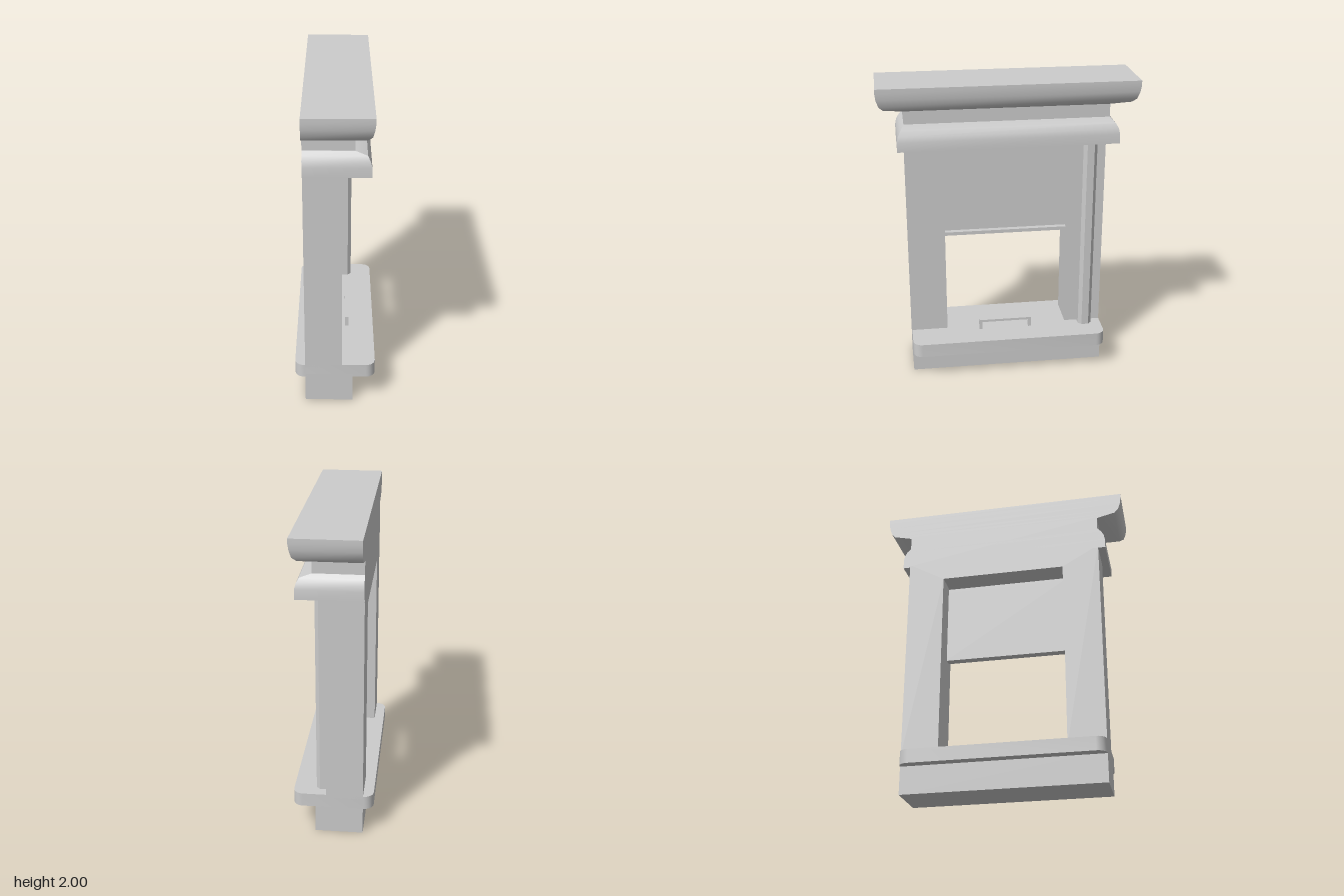
import * as THREE from 'three';
import { toCreasedNormals } from 'three/addons/utils/BufferGeometryUtils.js';

const BACK = -0.19; // shared flat back plane (x)

export function createModel() {
  const group = new THREE.Group();
  const material = new THREE.MeshStandardMaterial({ color: 0xcccccc });

  function add(name, geometry) {
    const mesh = new THREE.Mesh(geometry, material);
    mesh.name = name;
    group.add(mesh);
    return mesh;
  }

  // Box given by its limits on each axis
  function box(name, x0, x1, y0, y1, z0, z1) {
    const g = new THREE.BoxGeometry(x1 - x0, y1 - y0, z1 - z0);
    g.translate((x0 + x1) / 2, (y0 + y1) / 2, (z0 + z1) / 2);
    return add(name, g);
  }

  // Plan outline (x, -z) raised from y0 to y1
  function prism(name, shape, y0, y1, curveSegments = 3) {
    const g = new THREE.ExtrudeGeometry(shape, { depth: y1 - y0, bevelEnabled: false, curveSegments });
    g.rotateX(-Math.PI / 2).translate(0, y0, 0);
    return add(name, toCreasedNormals(g, 0.3));
  }

  // Moulding: rectangles stacked by [front x, half width z, y], flat at the back
  function moulding(name, levels) {
    const pos = [], index = [];
    for (const [x, z, y] of levels) pos.push(BACK, y, z, x, y, z, x, y, -z, BACK, y, -z);
    for (let i = 0; i < levels.length - 1; i++) {
      for (let j = 0; j < 4; j++) {
        const a = i * 4 + j, b = i * 4 + (j + 1) % 4;
        index.push(a, b, b + 4, a, b + 4, a + 4);
      }
    }
    const t = (levels.length - 1) * 4;
    index.push(0, 2, 1, 0, 3, 2, t, t + 1, t + 2, t, t + 2, t + 3);
    const g = new THREE.BufferGeometry();
    g.setAttribute('position', new THREE.Float32BufferAttribute(pos, 3));
    g.setIndex(index);
    return add(name, toCreasedNormals(g, 0.65));
  }

  // Plinth
  box('plinth', BACK, 0.113, 0, 0.2, -0.645, 0.645);

  // Sill with rounded corners
  const sx = 0.255, sz = 0.645, r = 0.06;
  const sill = new THREE.Shape();
  sill.moveTo(-sx + r, -sz);
  sill.lineTo(sx - r, -sz);
  sill.absarc(sx - r, -sz + r, r, -Math.PI / 2, 0);
  sill.absarc(sx - r, sz - r, r, 0, Math.PI / 2);
  sill.absarc(-sx + r, sz - r, r, Math.PI / 2, Math.PI);
  sill.absarc(-sx + r, -sz + r, r, Math.PI, Math.PI * 1.5);
  prism('sill', sill, 0.18, 0.27);

  // Surround: two jambs and the header in one piece
  const surround = new THREE.Shape([
    [-0.645, 0.25], [-0.405, 0.25], [-0.405, 1.485], [0.405, 1.485],
    [0.405, 0.25], [0.645, 0.25], [0.645, 1.62], [-0.645, 1.62],
  ].map(([x, y]) => new THREE.Vector2(x, y)));
  const surroundGeometry = new THREE.ExtrudeGeometry(surround, { depth: 0.043 - BACK, bevelEnabled: false });
  surroundGeometry.rotateY(Math.PI / 2).translate(BACK, 0, 0);
  add('surround', surroundGeometry);

  // Chamfered pilaster on one jamb only
  const pilaster = new THREE.Shape([
    [0.03, 0.49], [0.09, 0.49], [0.113, 0.512], [0.113, 0.558], [0.09, 0.58], [0.03, 0.58],
  ].map(([x, y]) => new THREE.Vector2(x, y)));
  prism('pilaster', pilaster, 0.26, 1.61);

  // Raised sash with its two rails
  box('sashPanel', -0.05, -0.03, 0.945, 1.47, -0.405, 0.405);
  for (const [name, y0, y1] of [['bottomRail', 0.94, 0.963], ['topRail', 1.452, 1.475]]) {
    box(name, -0.05, 0.005, y0, y1, -0.405, 0.405);
  }

  // Frieze and mouldings
  box('frieze', BACK, 0.115, 1.61, 1.84, -0.645, 0.645);
  moulding('lowerMoulding', [
    [0.212, 0.692, 1.6], [0.212, 0.692, 1.66], [0.203, 0.685, 1.695],
    [0.187, 0.668, 1.725], [0.115, 0.646, 1.747],
  ]);
  moulding('cornice', [
    [0.115, 0.646, 1.83], [0.182, 0.765, 1.858], [0.208, 0.79, 1.885],
    [0.219, 0.805, 1.93], [0.224, 0.81, 1.97], [0.224, 0.81, 2.0],
  ]);

  // Handle standing on the sill
  const handle = new THREE.Group();
  handle.name = 'handle';
  handle.add(
    box('handleGrip', 0.067, 0.09, 0.322, 0.338, -0.165, 0.19),
    box('handleLeg', 0.067, 0.09, 0.265, 0.322, -0.165, -0.145),
    box('handleLeg', 0.067, 0.09, 0.265, 0.322, 0.17, 0.19),
  );
  group.add(handle);

  return group;
}
